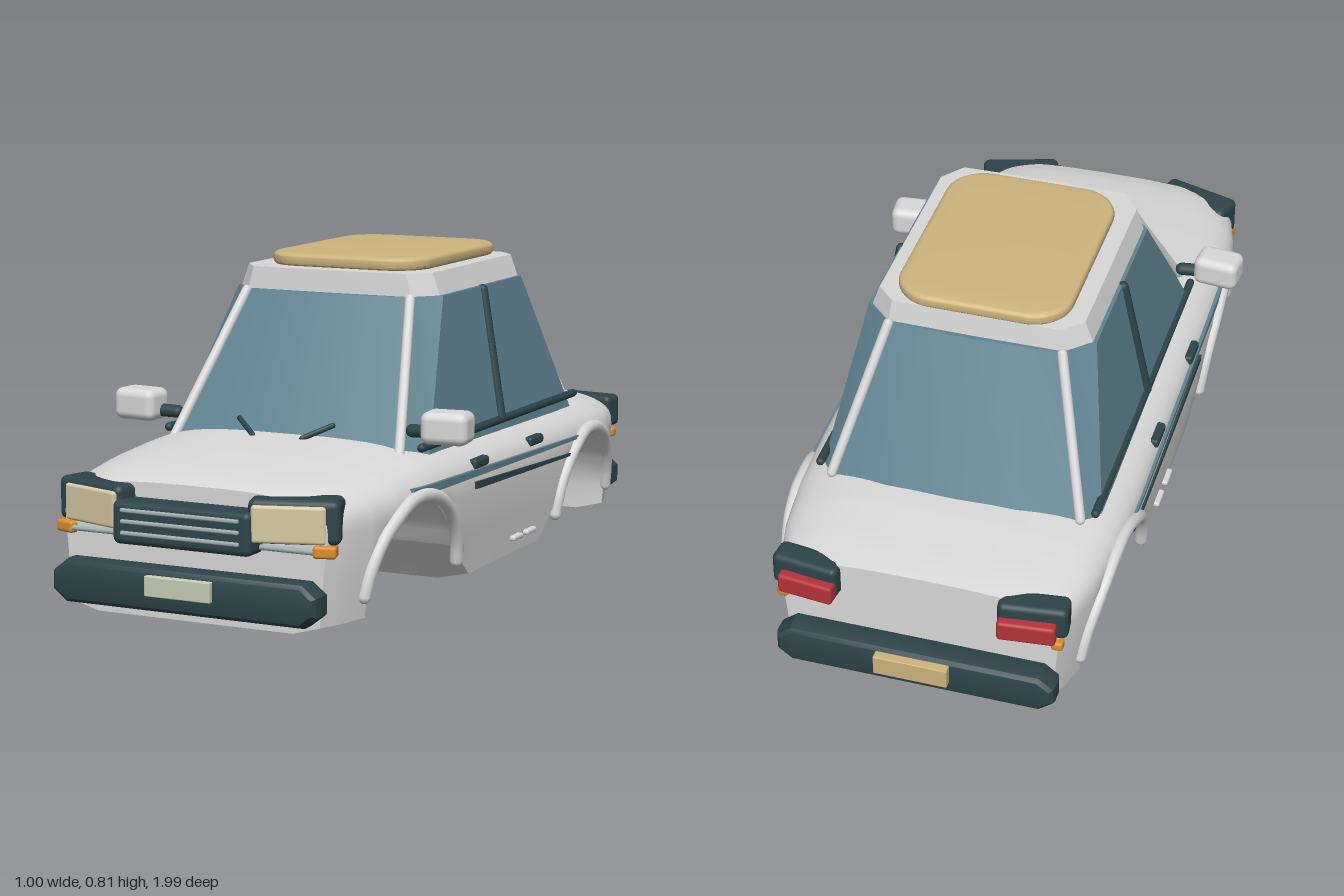
import * as THREE from 'three';
import { toCreasedNormals } from 'three/addons/utils/BufferGeometryUtils.js';
import { RoundedBoxGeometry } from 'three/addons/geometries/RoundedBoxGeometry.js';

const material = (name, color) => {
  const m = new THREE.MeshStandardMaterial({ color });
  m.name = name;
  return m;
};

// Piecewise linear lookup in [position, value] pairs
function lookup(table, t) {
  if (t <= table[0][0]) return table[0][1];
  for (let i = 1; i < table.length; i++) {
    const [a, va] = table[i - 1], [b, vb] = table[i];
    if (t <= b) return va + (vb - va) * (t - a) / (b - a);
  }
  return table[table.length - 1][1];
}

// Skin over closed loops, counter-clockwise seen from the loft direction, with end caps
function loft(loops, crease = 0.6) {
  const n = loops[0].length, pos = loops.flat(2), index = [];
  for (let i = 0; i < loops.length - 1; i++) {
    for (let j = 0; j < n; j++) {
      const a = i * n + j, b = i * n + (j + 1) % n;
      index.push(a, b, a + n, b, b + n, a + n);
    }
  }
  [0, loops.length - 1].forEach((row, end) => {
    const c = pos.length / 3;
    for (let k = 0; k < 3; k++) pos.push(loops[row].reduce((s, p) => s + p[k], 0) / n);
    for (let j = 0; j < n; j++) {
      const a = row * n + j, b = row * n + (j + 1) % n;
      if (end) index.push(c, a, b); else index.push(c, b, a);
    }
  });
  const g = new THREE.BufferGeometry();
  g.setAttribute('position', new THREE.Float32BufferAttribute(pos, 3));
  g.setIndex(index);
  return toCreasedNormals(g, crease);
}

// Complete a half loop (first and last points on x = 0)
const mirrorLoop = (half) => [...half, ...half.slice(1, -1).reverse().map(([x, y, z]) => [-x, y, z])];

// Body shape rules
const WIDTH = [[-0.91, 0.355], [-0.85, 0.38], [-0.75, 0.405], [-0.6, 0.424], [-0.4, 0.43],
  [0.5, 0.43], [0.65, 0.422], [0.76, 0.405], [0.85, 0.38], [0.91, 0.355]];
const TOP = [[-0.91, 0.325], [-0.85, 0.34], [-0.7, 0.358], [-0.5, 0.37], [0.3, 0.385],
  [0.45, 0.384], [0.65, 0.37], [0.8, 0.355], [0.87, 0.343], [0.91, 0.33]];
const FLANK = [[0, 0.75], [0.02, 0.95], [0.12, 0.975], [0.24, 1]];
const SHOULDER = 0.24, ARCHES = [0.545, -0.57], ARCH_Y = 0.045, ARCH_R = 0.22;

function floorY(z) {
  for (const c of ARCHES) {
    const d = Math.abs(z - c);
    const arch = d <= ARCH_R + 1e-6 ? ARCH_Y + Math.sqrt(Math.max(0, ARCH_R ** 2 - d * d)) : 0;
    const slope = (z - c) * c < 0 && d < 0.325 ? Math.min(0.115, (0.325 - d) * 1.1) : 0;
    if (arch || slope) return Math.max(arch, slope);
  }
  return 0;
}

function sideX(y, z) {
  const w = lookup(WIDTH, z);
  if (y <= SHOULDER) return w * lookup(FLANK, y);
  const t = Math.min(1, (y - SHOULDER) / (lookup(TOP, z) - SHOULDER));
  return w * Math.cbrt(1 - t ** 3);
}

function bodyGeometry() {
  const stations = [...WIDTH, ...TOP].map((p) => p[0]).concat([-0.245, 0.22]);
  for (const c of ARCHES) {
    for (let k = 0; k <= 24; k++) stations.push(c + ARCH_R * Math.cos(Math.PI * k / 24));
    stations.push(c + Math.sign(c) * (ARCH_R + 0.001));
  }
  const zs = [...new Set(stations)].sort((a, b) => a - b);
  return loft(zs.map((z) => {
    const w = lookup(WIDTH, z), h = lookup(TOP, z) - SHOULDER, low = floorY(z);
    const half = [[0, 0], ...FLANK.slice(0, 3).map(([y, f]) => [w * f, y])];
    for (let k = 0; k <= 12; k++) {
      const a = Math.PI / 2 * k / 12;
      half.push([k === 12 ? 0 : w * Math.cos(a) ** (2 / 3), SHOULDER + h * Math.sin(a) ** (2 / 3)]);
    }
    return mirrorLoop(half.map(([x, y]) => [x, Math.max(y, low), z]));
  }));
}

// Thin strip following the flank between two [z, y] ends
function stripeGeometry(s, [z0, y0], [z1, y1], h) {
  const loops = [];
  for (let i = 0; i <= 16; i++) {
    const t = i / 16, z = z0 + (z1 - z0) * t, y = y0 + (y1 - y0) * t, x = sideX(y, z);
    const k = h * (0.35 + 0.65 * t);
    const loop = [[-0.01, -k], [0.006, -k], [0.006, k], [-0.01, k]].map(([dx, dy]) => [s * (x + dx), y + dy, z]);
    loops.push(s > 0 ? loop : loop.reverse());
  }
  return loft(loops);
}

export function createModel() {
  const car = new THREE.Group();
  car.name = 'car';
  const paint = material('white paint', 0xd8d8d8), dark = material('dark trim', 0x2c444a);
  const glass = material('blue glass', 0x5f8390), tan = material('tan', 0xcdb47c);
  const lens = material('cream lens', 0xd6c9a0), orange = material('orange lens', 0xdb8c2e);
  const red = material('red lens', 0xb53339), plate = material('pale plate', 0xc5ceb6);
  const chrome = material('grey chrome', 0x9dafb2);

  const add = (name, geometry, mat, [x, y, z] = [0, 0, 0], ry = 0) => {
    const m = new THREE.Mesh(geometry, mat);
    m.name = name;
    m.position.set(x, y, z);
    m.rotation.y = ry;
    car.add(m);
    return m;
  };
  const block = (name, mat, size, at, r = 0.01, ry = 0) =>
    add(name, new RoundedBoxGeometry(...size, 3, r), mat, at, ry);
  const rod = (name, mat, a, b, r) => {
    const p = new THREE.Vector3(...a), q = new THREE.Vector3(...b);
    const m = add(name, new THREE.CapsuleGeometry(r, p.distanceTo(q), 4, 12), mat, p.clone().lerp(q, 0.5).toArray());
    m.quaternion.setFromUnitVectors(new THREE.Vector3(0, 1, 0), q.sub(p).normalize());
  };

  // Shell, glasshouse and roof
  add('body', bodyGeometry(), paint);
  const ring = (y, half) => mirrorLoop(half.map(([x, z]) => [x, y, z]));
  add('windows', loft([
    ring(0.335, [[0, 0.475], [0.17, 0.466], [0.318, 0.445], [0.366, 0.37], [0.366, -0.56], [0.325, -0.615], [0.17, -0.648], [0, -0.655]]),
    ring(0.715, [[0, 0.222], [0.13, 0.216], [0.235, 0.2], [0.296, 0.135], [0.296, -0.37], [0.225, -0.43], [0.12, -0.438], [0, -0.442]]),
  ], 0.25), glass);
  add('roof', loft([
    ring(0.71, [[0, 0.205], [0.235, 0.2], [0.288, 0.135], [0.288, -0.37], [0.228, -0.428], [0, -0.43]]),
    ring(0.772, [[0, 0.2], [0.22, 0.195], [0.266, 0.135], [0.266, -0.37], [0.218, -0.418], [0, -0.42]]),
  ], 0.25), paint);

  // Rounded roof panel
  const panel = new THREE.Shape(), hx = 0.208, hz = 0.272, cr = 0.085;
  panel.absarc(hx - cr, hz - cr, cr, 0, Math.PI / 2);
  panel.absarc(cr - hx, hz - cr, cr, Math.PI / 2, Math.PI);
  panel.absarc(cr - hx, cr - hz, cr, Math.PI, Math.PI * 1.5);
  panel.absarc(hx - cr, cr - hz, cr, Math.PI * 1.5, Math.PI * 2);
  const panelGeo = new THREE.ExtrudeGeometry(panel, { depth: 0.004, bevelThickness: 0.016, bevelSize: 0.017, bevelSegments: 5, curveSegments: 10 });
  add('roofPanel', toCreasedNormals(panelGeo.rotateX(-Math.PI / 2), 0.6), tan, [0, 0.785, -0.137]);

  // Bumpers and number plates
  const bar = new THREE.Shape([[-0.335, -0.012], [-0.312, -0.03], [0.312, -0.03], [0.335, -0.012],
    [0.335, 0.012], [0.312, 0.03], [-0.312, 0.03], [-0.335, 0.012]].map((p) => new THREE.Vector2(...p)));
  const barGeo = toCreasedNormals(new THREE.ExtrudeGeometry(bar,
    { depth: 0.032, bevelThickness: 0.025, bevelSize: 0.024, bevelSegments: 3 }), 0.5);
  add('frontBumper', barGeo, dark, [0, 0.081, 0.922]);
  add('rearBumper', barGeo, dark, [0, 0.081, -0.954]);
  block('frontPlate', plate, [0.178, 0.05, 0.02], [0, 0.095, 0.982], 0.003);
  block('rearPlate', tan, [0.19, 0.055, 0.025], [0, 0.097, -0.9875], 0.003);

  // Grille
  block('grille', dark, [0.374, 0.106, 0.1], [0, 0.238, 0.925], 0.016);
  for (const y of [0.215, 0.243, 0.27]) block('grilleBar', chrome, [0.32, 0.01, 0.012], [0, y, 0.976], 0.004);
  rod('noseBar', chrome, [-0.33, 0.202, 0.92], [0.33, 0.202, 0.92], 0.007);

  for (const s of [1, -1]) {
    // Lamps
    block('headlightHousing', dark, [0.22, 0.108, 0.095], [s * 0.265, 0.269, 0.884], 0.018, s * 0.3);
    block('headlight', lens, [0.178, 0.09, 0.04], [s * 0.264, 0.264, 0.921], 0.008, s * 0.3);
    block('frontIndicator', orange, [0.056, 0.03, 0.045], [s * 0.348, 0.203, 0.9], 0.008, s * 0.3);
    block('tailLightHousing', dark, [0.175, 0.09, 0.07], [s * 0.288, 0.275, -0.896], 0.016, -s * 0.12);
    block('tailLight', red, [0.145, 0.055, 0.05], [s * 0.28, 0.257, -0.932], 0.009, -s * 0.1);
    block('rearIndicator', orange, [0.03, 0.026, 0.03], [s * 0.352, 0.208, -0.912], 0.008);

    // Pillars and window sill
    rod('frontPillar', paint, [s * 0.235, 0.71, 0.205], [s * 0.32, 0.35, 0.446], 0.013);
    rod('rearPillar', paint, [s * 0.225, 0.71, -0.432], [s * 0.325, 0.35, -0.615], 0.013);
    rod('centrePillar', dark, [s * 0.36, 0.37, -0.092], [s * 0.296, 0.705, -0.113], 0.014);
    rod('windowSill', dark, [s * 0.36, 0.368, 0.4], [s * 0.36, 0.366, -0.6], 0.011);

    // Mirrors and wipers
    rod('mirrorArm', dark, [s * 0.335, 0.41, 0.4], [s * 0.39, 0.412, 0.405], 0.017);
    block('mirror', paint, [0.122, 0.082, 0.09], [s * 0.435, 0.427, 0.41], 0.022, s * 0.1);
    rod('wiper', dark, [s * 0.07, 0.383, 0.483], [s * 0.132, 0.413, 0.436], 0.007);

    // Side details
    add('sideStripe', stripeGeometry(s, [-0.6, 0.265], [0.58, 0.289], 0.011), glass);
    add('lowerStripe', stripeGeometry(s, [-0.48, 0.226], [0.23, 0.251], 0.009), dark);
    for (const z of [0.18, -0.185]) block('doorHandle', dark, [0.025, 0.026, 0.085], [s * sideX(0.302, z), 0.302, z], 0.009);
    for (const z of [-0.065, -0.155]) block('sillStep', paint, [0.025, 0.014, 0.062], [s * (sideX(0.062, z) + 0.002), 0.062, z], 0.006);

    // Wheel arch trims
    for (const c of ARCHES) {
      const points = [];
      for (let k = 0; k <= 16; k++) {
        const a = 0.12 + (Math.PI - 0.24) * k / 16;
        const y = ARCH_Y + 0.234 * Math.sin(a), z = c + 0.234 * Math.cos(a);
        points.push(new THREE.Vector3(s * (sideX(y, z) + 0.002), y, z));
      }
      add('wheelArchTrim', new THREE.TubeGeometry(new THREE.CatmullRomCurve3(points), 40, 0.017, 10), paint);
      for (const p of [points[0], points[16]]) add('archTrimEnd', new THREE.SphereGeometry(0.017, 10, 8), paint, p.toArray());
    }
  }
  return car;
}
